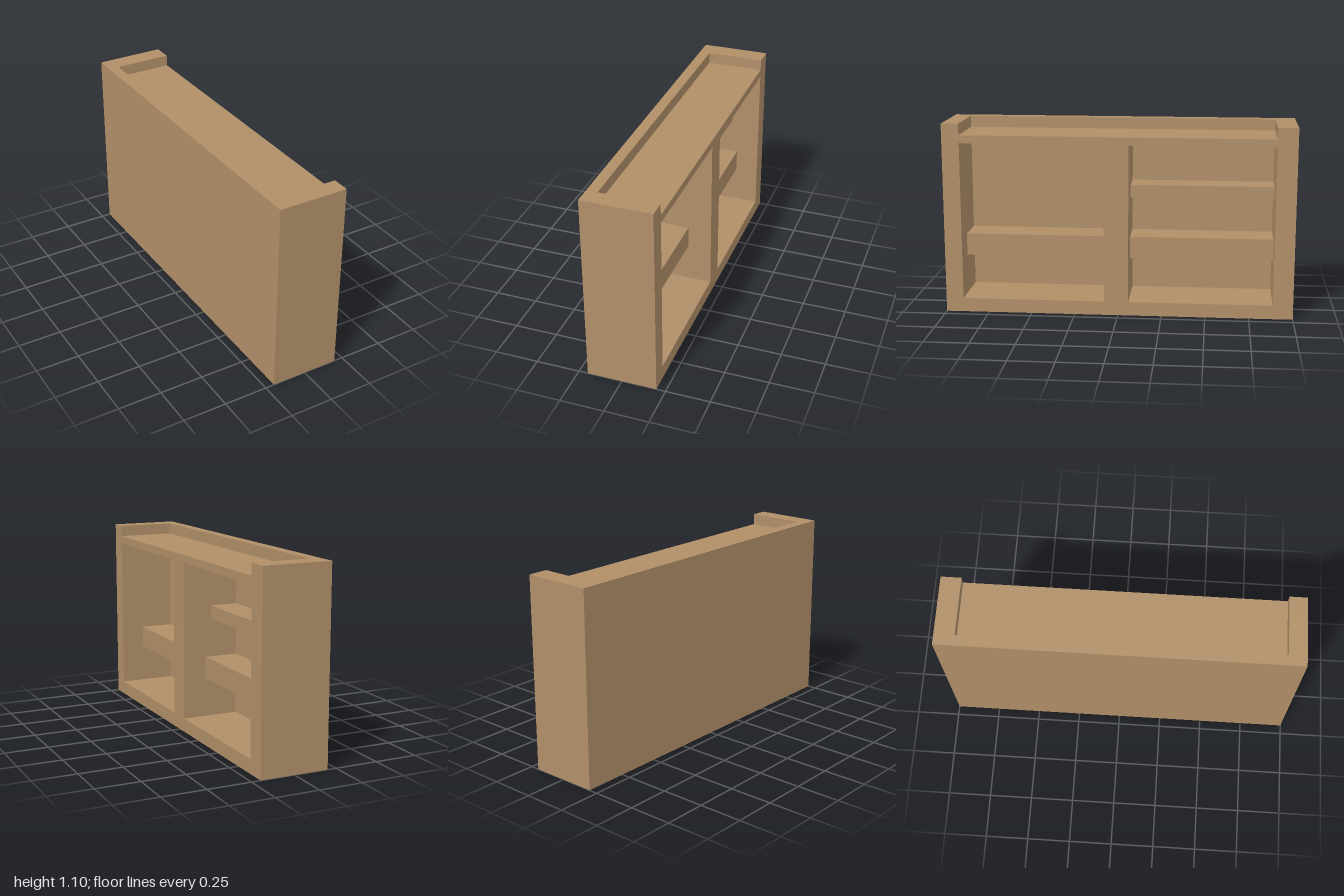
import * as THREE from 'three';

export function createModel() {
  const model = new THREE.Group();
  model.name = 'shelfUnit';
  const wood = new THREE.MeshStandardMaterial({ name: 'wood', color: 0xb08f68 });

  const xBack = -0.198, xFront = 0.198, xPanel = -0.136;
  const height = 1.1, trayFloor = 1.035;
  // Compartment spans along the length, u = -z
  const bays = [[-0.9, -0.08], [0.06, 0.885]];
  const [trayA, trayB] = [bays[0][0], bays[1][1]];

  function add(name, geometry) {
    const mesh = new THREE.Mesh(geometry, wood);
    mesh.name = name;
    model.add(mesh);
    return mesh;
  }

  // Frame: outline notched at the top for the tray, with two open compartments
  const outline = new THREE.Shape([
    [-1, 0], [1, 0], [1, height], [trayB, height], [trayB, trayFloor],
    [trayA, trayFloor], [trayA, height], [-1, height],
  ].map(([u, y]) => new THREE.Vector2(u, y)));
  for (const [a, b] of bays) {
    outline.holes.push(new THREE.Path([
      [a, 0.08], [a, 0.99], [b, 0.99], [b, 0.08],
    ].map(([u, y]) => new THREE.Vector2(u, y))));
  }
  const frame = new THREE.ExtrudeGeometry(outline, { depth: xFront - xPanel, bevelEnabled: false });
  frame.rotateY(Math.PI / 2);
  add('frame', frame).position.x = xPanel;

  // Full-height panel closing the rear
  add('backPanel', new THREE.BoxGeometry(xPanel - xBack, height, 2))
    .position.set((xBack + xPanel) / 2, height / 2, 0);

  // Shelves, set back from the opening
  function shelf(name, [a, b], y0, y1, x1) {
    add(name, new THREE.BoxGeometry(x1 - xPanel, y1 - y0, b - a))
      .position.set((x1 + xPanel) / 2, (y0 + y1) / 2, -(a + b) / 2);
  }
  shelf('frontLowerShelf', bays[0], 0.305, 0.433, 0.06);
  shelf('rearLowerShelf', bays[1], 0.305, 0.433, 0.06);
  shelf('rearUpperShelf', bays[1], 0.657, 0.733, 0.025);

  return model;
}
